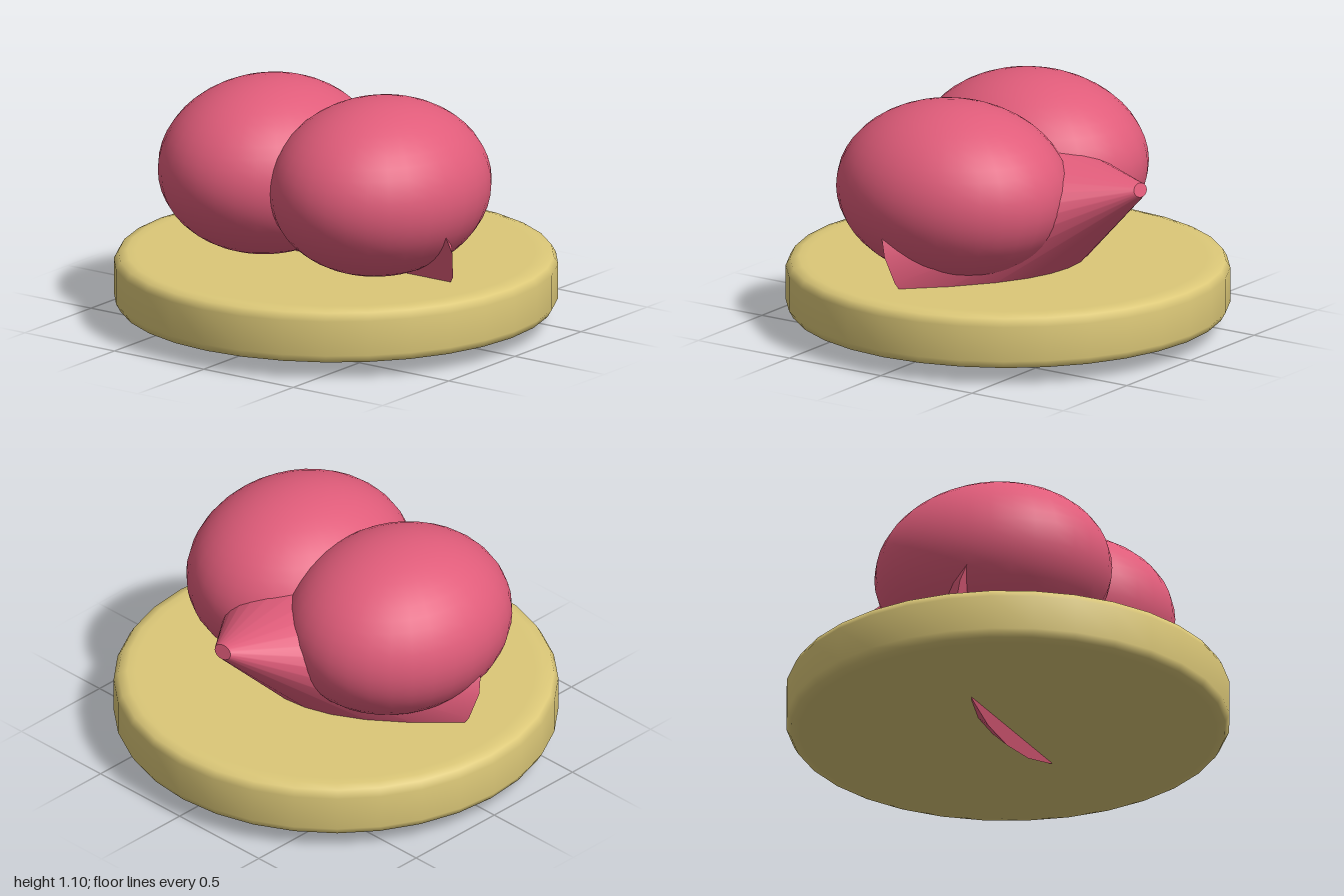
import * as THREE from 'three';

export function createModel() {
  const model = new THREE.Group();
  const pink = new THREE.MeshStandardMaterial({ color: 0xe05c7a });
  pink.name = 'rose pink';
  const gold = new THREE.MeshStandardMaterial({ color: 0xdcc878 });
  gold.name = 'pale gold';

  const add = (name, geometry, material, x, y, z) => {
    const mesh = new THREE.Mesh(geometry, material);
    mesh.name = name;
    mesh.position.set(x, y, z);
    model.add(mesh);
    return mesh;
  };

  // Round base plate with softened rims
  const profile = [
    [0, 0.08], [0.9, 0.08], [0.94, 0.08], [0.98, 0.09], [1, 0.125],
    [1, 0.285], [0.98, 0.32], [0.94, 0.33], [0.9, 0.33], [0, 0.33],
  ].map(([r, y]) => new THREE.Vector2(r, y));
  add('basePlate', new THREE.LatheGeometry(profile, 32), gold, 0, 0, 0);

  // Two rounded lobes of the heart
  for (const side of [-1, 1]) {
    const lobe = new THREE.SphereGeometry(1, 32, 24);
    lobe.scale(0.475, 0.4, 0.55);
    add(side > 0 ? 'leftLobe' : 'rightLobe', lobe, pink, side * 0.31, 0.71, 0.085);
  }

  // Wide blunt cone, tilted up towards the back, forming the heart's point
  const point = new THREE.CylinderGeometry(0.032, 0.495, 0.917, 24);
  point.scale(1.535, 1, 1);
  point.rotateX(THREE.MathUtils.degToRad(-72.2));
  add('heartPoint', point, pink, 0, 0.62, -0.289);

  return model;
}
